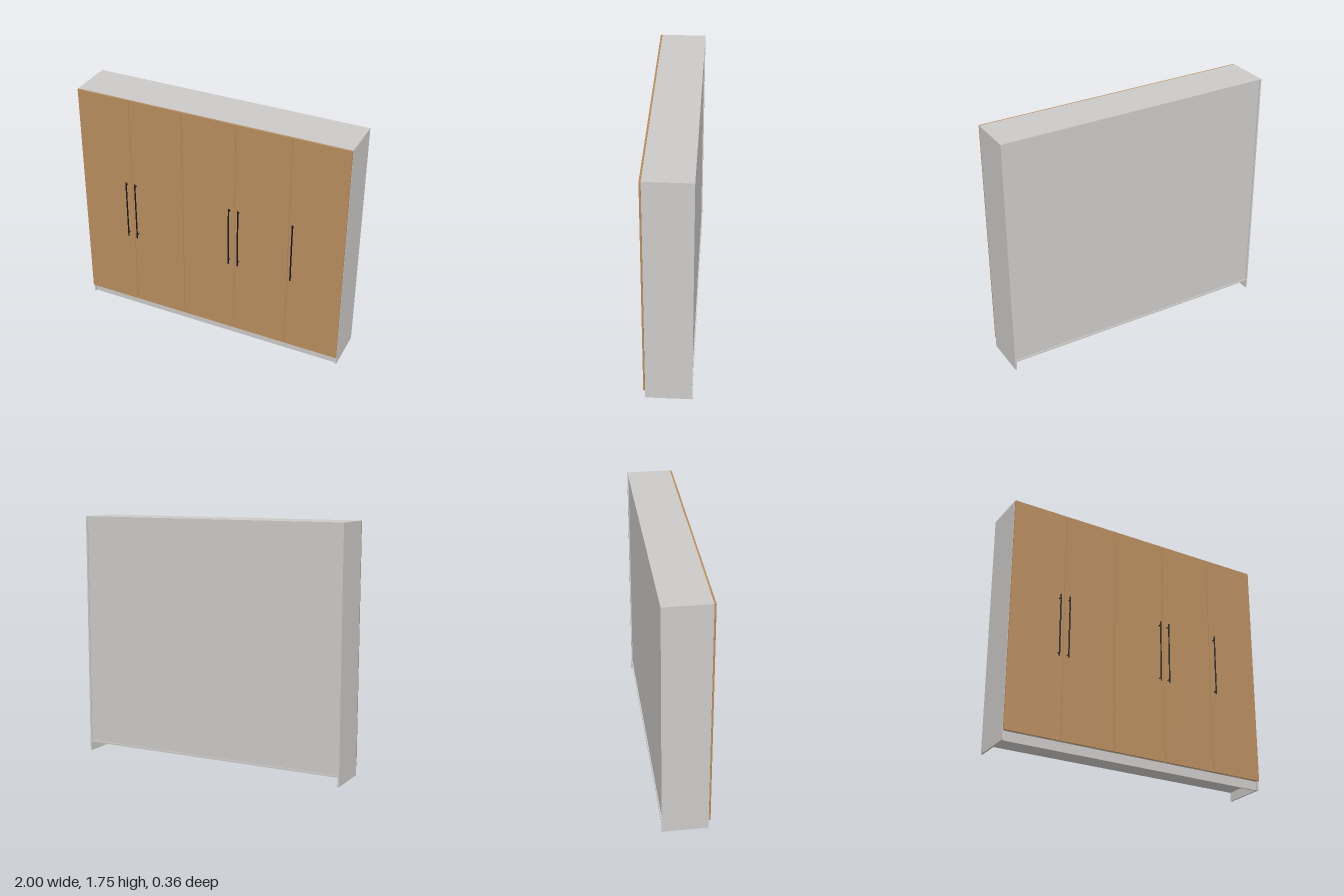
import * as THREE from 'three';

export function createModel() {
  const model = new THREE.Group();
  model.name = 'wardrobe';

  const mat = (name, color) => {
    const m = new THREE.MeshStandardMaterial({ color });
    m.name = name;
    return m;
  };
  const carcassGrey = mat('carcassGrey', 0xcccac8);
  const doorWood = mat('doorWood', 0xb98e5f);
  const handleBlack = mat('handleBlack', 0x16161a);

  // Box given by its lower and upper corners
  const box = (name, material, [x0, y0, z0], [x1, y1, z1], parent = model) => {
    const mesh = new THREE.Mesh(new THREE.BoxGeometry(x1 - x0, y1 - y0, z1 - z0), material);
    mesh.position.set((x0 + x1) / 2, (y0 + y1) / 2, (z0 + z1) / 2);
    mesh.name = name;
    parent.add(mesh);
  };

  const H = 1.753, BACK = -0.181, FRONT = 0.139, T = 0.012, BASE = 0.065;

  // Carcass: sides run to the floor, back panel is set in slightly
  box('rightSide', carcassGrey, [-1, 0, BACK], [-1 + T, H, FRONT]);
  box('leftSide', carcassGrey, [1 - T, 0, BACK], [1, H, FRONT]);
  box('topPanel', carcassGrey, [-1 + T, H - T, BACK], [1 - T, H, FRONT]);
  box('bottomPanel', carcassGrey, [-1 + T, BASE, BACK], [1 - T, BASE + T, FRONT]);
  box('backPanel', carcassGrey, [-1 + T, BASE + T, BACK + 0.008], [1 - T, H - T, BACK + 0.014]);
  box('plinth', carcassGrey, [-1 + T, 0, FRONT - 0.025], [1 - T, BASE, FRONT - 0.013]);

  // Inner partitions behind the door joints
  for (const x of [-0.6, -0.2, 0.2, 0.6]) {
    box('partition', carcassGrey, [x - T / 2, BASE + T, BACK + 0.014], [x + T / 2, H - T, FRONT]);
  }

  // Five doors with narrow gaps
  const gap = 0.002;
  for (let i = 0; i < 5; i++) {
    const x = -1 + i * 0.4;
    box('door', doorWood, [x + gap, BASE, FRONT + 0.001], [x + 0.4 - gap, H - 0.002, 0.152]);
  }

  // Bar handles on two posts
  const barGeo = new THREE.CylinderGeometry(0.005, 0.005, 0.457, 16);
  const postGeo = new THREE.CylinderGeometry(0.0035, 0.0035, 0.025, 12).rotateX(Math.PI / 2);
  for (const x of [-0.638, -0.568, 0.164, 0.233, 0.633]) {
    const handle = new THREE.Group();
    handle.name = 'handle';
    handle.position.set(x, 0.878, 0);
    const bar = new THREE.Mesh(barGeo, handleBlack);
    bar.name = 'handleBar';
    bar.position.z = 0.176;
    handle.add(bar);
    for (const s of [-1, 1]) {
      const post = new THREE.Mesh(postGeo, handleBlack);
      post.name = 'handlePost';
      post.position.set(0, s * 0.205, 0.1635);
      handle.add(post);
    }
    model.add(handle);
  }

  return model;
}
